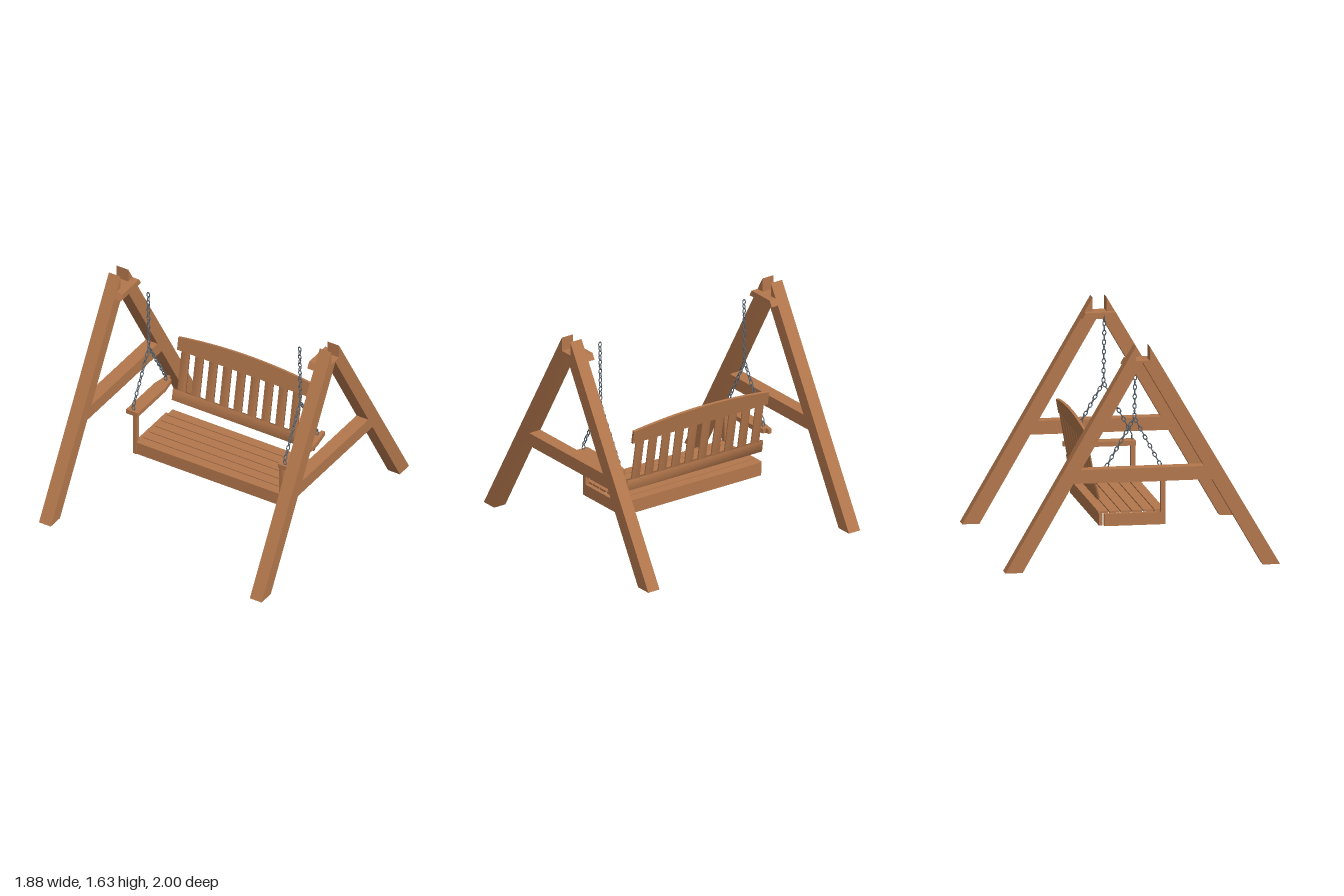
import * as THREE from 'three';
import { mergeVertices } from 'three/addons/utils/BufferGeometryUtils.js';

const wood = new THREE.MeshStandardMaterial({ color: 0xb3774c });
wood.name = 'warm wood';
const steel = new THREE.MeshStandardMaterial({ color: 0x5c6771 });
steel.name = 'grey steel';

function add(parent, name, geometry, material = wood) {
  const mesh = new THREE.Mesh(geometry, material);
  mesh.name = name;
  parent.add(mesh);
  return mesh;
}

// Box given by its limits on each axis
function box(parent, name, [x0, x1], [y0, y1], [z0, z1]) {
  const mesh = add(parent, name, new THREE.BoxGeometry(x1 - x0, y1 - y0, z1 - z0));
  mesh.position.set((x0 + x1) / 2, (y0 + y1) / 2, (z0 + z1) / 2);
  return mesh;
}

// Board whose shading rolls softly over its edges
function softBoard(...args) {
  const mesh = box(...args);
  const geometry = mesh.geometry.deleteAttribute('normal').deleteAttribute('uv');
  mesh.geometry = mergeVertices(geometry);
  mesh.geometry.computeVertexNormals();
}

function outline(points) {
  return new THREE.Shape(points.map(([a, b]) => new THREE.Vector2(a, b)));
}

// Outline in (z, y), extruded between two x positions
function sidePlate(points, x0, x1) {
  const geometry = new THREE.ExtrudeGeometry(outline(points), { depth: x1 - x0, bevelEnabled: false });
  return geometry.rotateY(-Math.PI / 2).translate(x1, 0, 0);
}

// Alternating oval links between two points
function chain(parent, name, from, to) {
  const group = new THREE.Group();
  group.name = name;
  const span = new THREE.Vector3().subVectors(to, from);
  const count = Math.round(span.length() / 0.0355);
  const link = new THREE.TorusGeometry(0.0118, 0.0038, 6, 14).scale(1, 1.55, 1);
  for (let i = 0; i < count; i++) {
    const mesh = add(group, 'chainLink', link, steel);
    mesh.position.y = (i + 0.5) * span.length() / count;
    mesh.rotation.y = i % 2 ? Math.PI / 2 : 0;
  }
  group.position.copy(from);
  group.quaternion.setFromUnitVectors(new THREE.Vector3(0, 1, 0), span.normalize());
  parent.add(group);
}

function createFrame(side) {
  const frame = new THREE.Group();
  frame.name = side > 0 ? 'leftFrame' : 'rightFrame';
  const span = (a, b) => (side > 0 ? [a, b] : [-b, -a]);
  const [x0, x1] = span(0.841, 0.941);
  // Sloping legs with a notch at the apex for a ridge beam
  for (const s of [1, -1]) {
    const leg = [[1, 0], [0.051, 1.627], [0.051, 1.523], [0, 1.523], [0, 1.512], [0.875, 0]];
    add(frame, s > 0 ? 'frontLeg' : 'backLeg', sidePlate(leg.map(([z, y]) => [z * s, y]), x0, x1));
  }
  // Brace cut to the slope of the legs
  add(frame, 'crossBrace', sidePlate([[-0.505, 0.639], [0.505, 0.639], [0.449, 0.737], [-0.449, 0.737]], x0, x1));
  add(frame, 'topCleat', sidePlate([[-0.136, 1.48], [0.134, 1.48], [0.109, 1.525], [-0.111, 1.525]], ...span(0.787, 0.841)));
  return frame;
}

function createSeat() {
  const seat = new THREE.Group();
  seat.name = 'seat';
  box(seat, 'frontApron', [-0.6, 0.6], [0.257, 0.346], [0.19, 0.215]);
  box(seat, 'backApron', [-0.6, 0.6], [0.257, 0.346], [-0.26, -0.235]);
  for (let i = 0; i < 6; i++) {
    const z = 0.184 - i * 0.0825;
    box(seat, 'seatSlat', [-0.6, 0.6], [0.346, 0.361], [z - 0.037, z + 0.037]);
  }
  for (const s of [1, -1]) {
    const span = (a, b) => (s > 0 ? [a, b] : [-b, -a]);
    box(seat, 'sideApron', span(0.601, 0.632), [0.257, 0.346], [-0.226, 0.186]);
    box(seat, 'armPost', span(0.601, 0.632), [0.257, 0.585], [0.186, 0.22]);
    // Armrest tapering to a narrow notched tail
    const plan = [[0.592, 0.22], [0.69, 0.22], [0.69, -0.16], [0.665, -0.3], [0.64, -0.3],
      [0.635, -0.27], [0.612, -0.27], [0.592, -0.16]];
    const arm = new THREE.ExtrudeGeometry(outline(plan.map(([x, z]) => [x * s, z])), { depth: 0.035, bevelEnabled: false });
    add(seat, 'armrest', arm.rotateX(Math.PI / 2).translate(0, 0.62, 0));
  }
  return seat;
}

function createBackrest() {
  const back = new THREE.Group();
  back.name = 'backrest';
  softBoard(back, 'lowerRail', [-0.6, 0.6], [0, 0.089], [-0.01, 0.01]);
  for (let i = 0; i < 10; i++) {
    const x = (i - 4.5) * 0.118;
    softBoard(back, 'backSlat', [x - 0.033, x + 0.033], [0.04, 0.45], [-0.009, 0.007]);
  }
  // Arched top rail
  const rail = new THREE.Shape();
  rail.moveTo(-0.6, 0.404);
  rail.lineTo(0.6, 0.404);
  rail.lineTo(0.6, 0.505);
  rail.quadraticCurveTo(0, 0.593, -0.6, 0.505);
  rail.closePath();
  const geometry = new THREE.ExtrudeGeometry(rail, { depth: 0.02, bevelEnabled: false, curveSegments: 20 });
  add(back, 'topRail', geometry.translate(0, 0, -0.01));
  back.position.set(0, 0.45, -0.263);
  back.rotation.x = -0.178;
  return back;
}

export function createModel() {
  const model = new THREE.Group();
  model.name = 'porchSwing';
  model.add(createFrame(1), createFrame(-1), createSeat(), createBackrest());
  // Hanging chains, each splitting to the front and back of an armrest
  for (const s of [1, -1]) {
    const at = (y, z) => new THREE.Vector3(0.64 * s, y, z);
    const split = at(1.045, -0.008);
    chain(model, 'upperChain', at(1.53, 0), split);
    for (const [name, z] of [['frontChain', 0.2], ['backChain', -0.234]]) {
      chain(model, name, at(0.66, z), split);
      chain(model, name + 'Anchor', at(0.615, z), at(0.66, z));
    }
  }
  return model;
}
